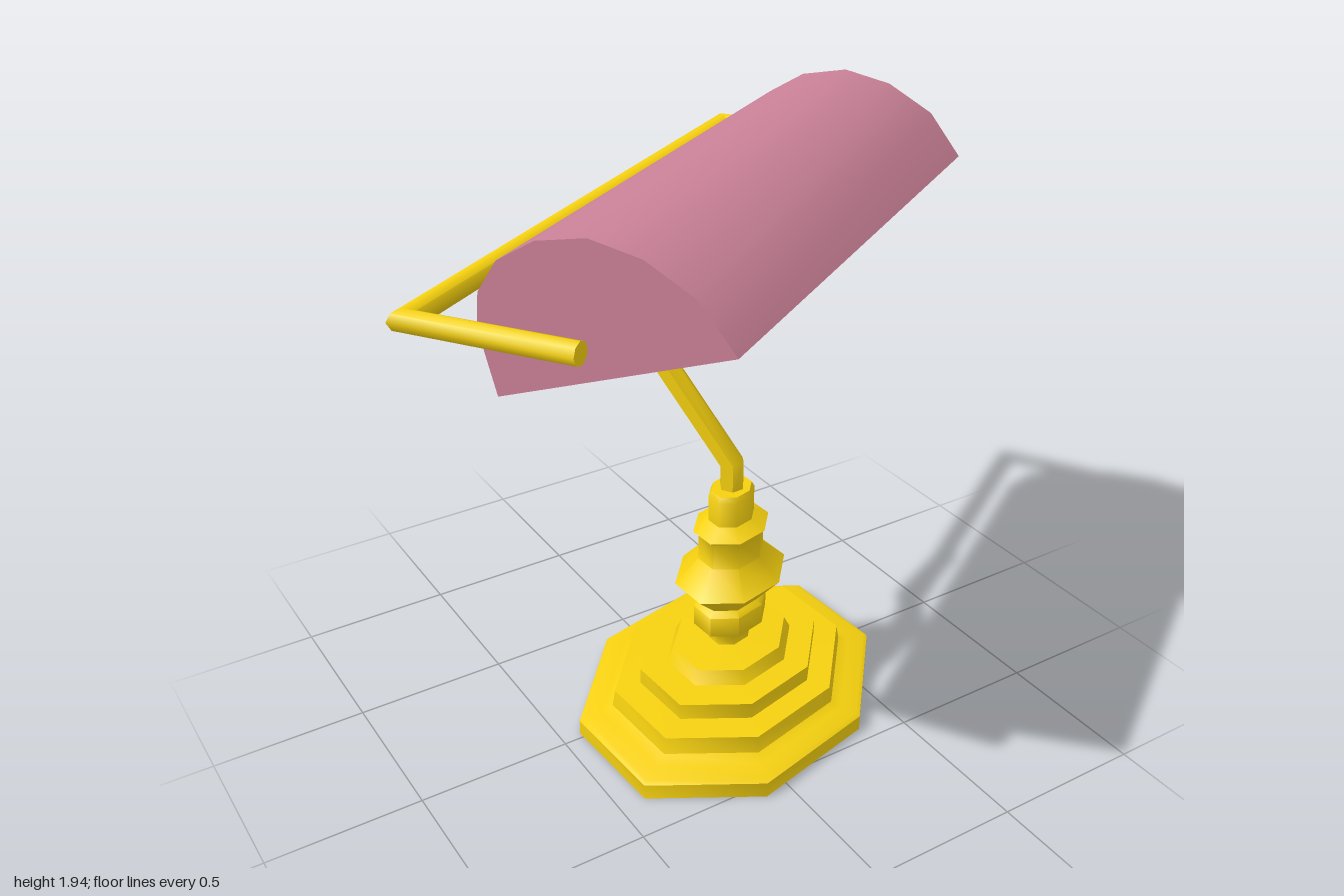
import * as THREE from 'three';
import { toCreasedNormals } from 'three/addons/utils/BufferGeometryUtils.js';

const brass = new THREE.MeshStandardMaterial({ color: 0xf5d00f, side: THREE.DoubleSide });
const pink = new THREE.MeshStandardMaterial({ color: 0xca8197, side: THREE.DoubleSide });
const grey = new THREE.MeshStandardMaterial({ color: 0xcccccc });

const vec = (x, y, z) => new THREE.Vector3(x, y, z);
const pairs = (list) => list.map(([x, y]) => new THREE.Vector2(x, y));

function part(name, geometry, material) {
  const mesh = new THREE.Mesh(geometry, material);
  mesh.name = name;
  return mesh;
}

// Rod along a planar path with mitred bends; normal is the normal of the path's plane
function rod(points, normal, radius, sides = 6) {
  const n = points.length - 1;
  const dirs = points.slice(1).map((p, i) => p.clone().sub(points[i]).normalize());
  const mitres = points.map((p, i) => {
    const a = dirs[Math.max(i - 1, 0)], b = dirs[Math.min(i, n - 1)];
    const t = a.clone().add(b).normalize();
    return t.clone().cross(normal).normalize().divideScalar(t.dot(a));
  });
  const geo = new THREE.CylinderGeometry(radius, radius, 1, sides, n);
  const pos = geo.attributes.position;
  for (let i = 0; i < pos.count; i++) {
    const row = Math.round((0.5 - pos.getY(i)) * n);
    const v = points[row].clone()
      .addScaledVector(normal, pos.getX(i))
      .addScaledVector(mitres[row], pos.getZ(i));
    pos.setXYZ(i, v.x, v.y, v.z);
  }
  return toCreasedNormals(geo, 0.9);
}

// Shade cross-section (z, y), from the back lower edge over the top to the front edge
const SHADE = [
  [-0.267, 1.455], [-0.317, 1.64], [-0.307, 1.74], [-0.246, 1.834], [-0.132, 1.905],
  [0.015, 1.937], [0.165, 1.91], [0.309, 1.834], [0.411, 1.708],
];
const SHADE_X = -0.034, SHADE_HALF = 0.825;

function createShade() {
  const shade = new THREE.Group();
  shade.name = 'shade';
  const rows = SHADE.length - 1;
  const geo = new THREE.PlaneGeometry(2 * SHADE_HALF, 1, 1, rows);
  const pos = geo.attributes.position;
  for (let i = 0; i < pos.count; i++) {
    const [z, y] = SHADE[Math.round((0.5 - pos.getY(i)) * rows)];
    pos.setXYZ(i, pos.getX(i) + SHADE_X, y, z);
  }
  geo.computeVertexNormals();
  shade.add(part('shadeCover', geo, pink));

  // Flat ends
  for (const side of [-1, 1]) {
    const end = new THREE.ShapeGeometry(new THREE.Shape(pairs(SHADE)));
    end.rotateY(-Math.PI / 2).translate(SHADE_X + side * SHADE_HALF, 0, 0);
    shade.add(part(side < 0 ? 'shadeEndRight' : 'shadeEndLeft', end, pink));
  }
  return shade;
}

export function createModel() {
  const model = new THREE.Group();
  model.name = 'deskLamp';
  const lamp = new THREE.Group();
  lamp.name = 'lamp';
  lamp.position.set(0.107, 0, 0.042);
  lamp.rotation.y = 0.548;
  model.add(lamp);

  // Stepped foot and turned column: eight sides, wider than deep, hollow below
  const profile = pairs([
    [0.535, 0], [0.535, 0.052], [0.52, 0.06], [0.46, 0.063], [0.42, 0.078], [0.41, 0.132],
    [0.32, 0.135], [0.32, 0.19], [0.225, 0.192], [0.203, 0.235], [0.075, 0.242],
    [0.075, 0.28], [0.13, 0.315], [0.13, 0.385], [0.107, 0.4], [0.195, 0.49],
    [0.115, 0.565], [0.113, 0.655], [0.132, 0.67], [0.08, 0.7], [0.08, 0.785],
    [0.07, 0.803], [0, 0.803],
  ]);
  const base = part('baseAndColumn', toCreasedNormals(new THREE.LatheGeometry(profile, 8), 1.0), brass);
  base.scale.set(1.136, 1, 0.886);
  lamp.add(base);

  // Bent stem leaning back to the crossbar
  const stem = [vec(0, 0.78, 0), vec(0, 0.89, 0), vec(0, 1.22, -0.26), vec(0, 1.46, -0.36), vec(0, 1.675, -0.45)];
  lamp.add(part('stem', rod(stem, vec(1, 0, 0), 0.04), brass));

  // Crossbar with an arm reaching forward at each end
  const yoke = [vec(-0.965, 1.69, 0.05), vec(-0.965, 1.673, -0.46), vec(0.88, 1.673, -0.46), vec(0.88, 1.69, 0.05)];
  lamp.add(part('yoke', rod(yoke, vec(0, 1, 0), 0.033, 8), brass));

  lamp.add(createShade());

  // Tube bulb with rounded ends
  const half = 0.755, r = 0.08, round = 0.04;
  const outline = [[0, -half]];
  for (const side of [-1, 1]) {
    for (let i = 0; i <= 4; i++) {
      const a = (side < 0 ? i - 4 : i) * Math.PI / 8;
      outline.push([r - round + round * Math.cos(a), side * (half - round) + round * Math.sin(a)]);
    }
  }
  outline.push([0, half]);
  const bulb = part('bulb', new THREE.LatheGeometry(pairs(outline), 20), grey);
  bulb.rotation.z = -Math.PI / 2;
  bulb.position.set(-0.02, 1.72, 0.04);
  lamp.add(bulb);

  return model;
}
